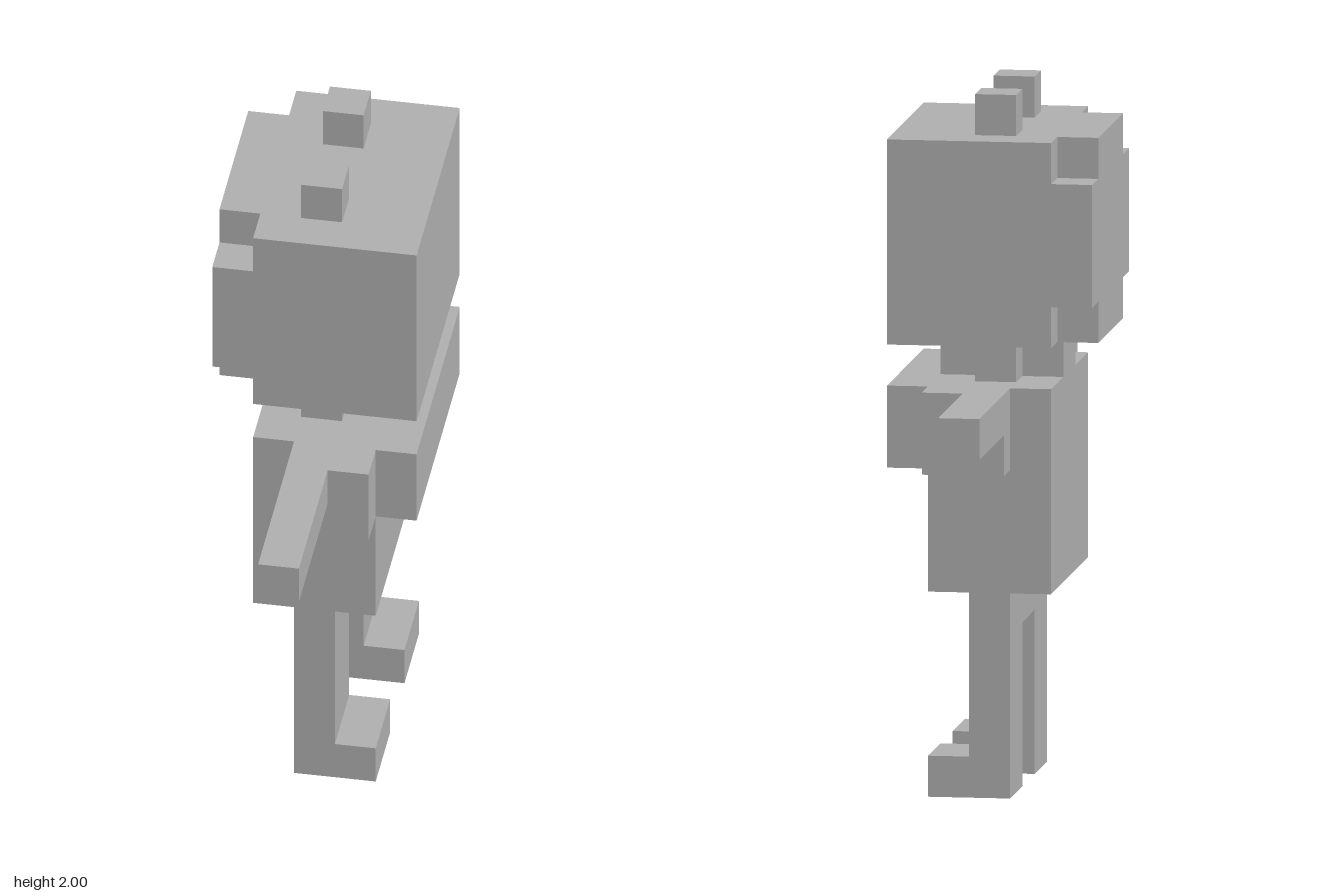
import * as THREE from 'three';

// One block of the grid; the figure is 17 blocks tall
const U = 2 / 17;

export function createModel() {
  const grey = new THREE.MeshStandardMaterial({ color: 0xb2b2b2 });
  grey.name = 'grey';
  const model = new THREE.Group();
  model.name = 'blockFigure';

  const add = (name, geometry) => {
    const mesh = new THREE.Mesh(geometry, grey);
    mesh.name = name;
    model.add(mesh);
    return mesh;
  };

  // Box given by its [min, max] range on each axis, in blocks
  const box = (name, [x0, x1], [y0, y1], [z0, z1]) => {
    const g = new THREE.BoxGeometry((x1 - x0) * U, (y1 - y0) * U, (z1 - z0) * U);
    g.translate((x0 + x1) / 2 * U, (y0 + y1) / 2 * U, (z0 + z1) / 2 * U);
    return add(name, g);
  };

  // Outline extruded by a number of blocks
  const slab = (name, points, depth) => {
    const shape = new THREE.Shape(points.map(([a, b]) => new THREE.Vector2(a * U, b * U)));
    return add(name, new THREE.ExtrudeGeometry(shape, { depth: depth * U, bevelEnabled: false }));
  };

  // Head: full block, with a back slab whose four corners are cut out
  box('head', [-1.5, 2.5], [11, 16], [-3, 3]);
  const back = slab('headBack', [
    [-2, 11], [2, 11], [2, 12], [3, 12], [3, 15], [2, 15],
    [2, 16], [-2, 16], [-2, 15], [-3, 15], [-3, 12], [-2, 12],
  ], 1);
  back.rotation.y = Math.PI / 2;
  back.position.x = -2.5 * U;

  // Trunk
  box('neck', [-1.5, 1.5], [10, 11], [-1, 1]);
  box('torso', [-1.5, 1.5], [5, 10], [-3, 3]);
  box('chest', [1.5, 2.5], [8, 10], [-3, 3]);
  box('hips', [-0.5, 0.5], [4, 5], [-1, 1]);

  // Paired parts on either side
  for (const [side, s] of [['front', 1], ['back', -1]]) {
    const span = (a, b) => (s > 0 ? [a, b] : [-b, -a]);
    box(side + 'Antenna', [-0.5, 0.5], [16, 17], span(1, 2));
    box(side + 'NeckSide', [-0.5, 0.5], [10, 11], span(1, 2));
    box(side + 'Shoulder', [-0.5, 1.5], [8, 10], span(3, 4));
    box(side + 'Arm', [-0.5, 0.5], [9, 10], span(4, 8));
    // L-shaped leg with its foot
    const leg = slab(side + 'Leg', [
      [-0.5, 0], [1.5, 0], [1.5, 1], [0.5, 1], [0.5, 5], [-0.5, 5],
    ], 2);
    leg.position.z = span(1, 3)[0] * U;
  }

  return model;
}
